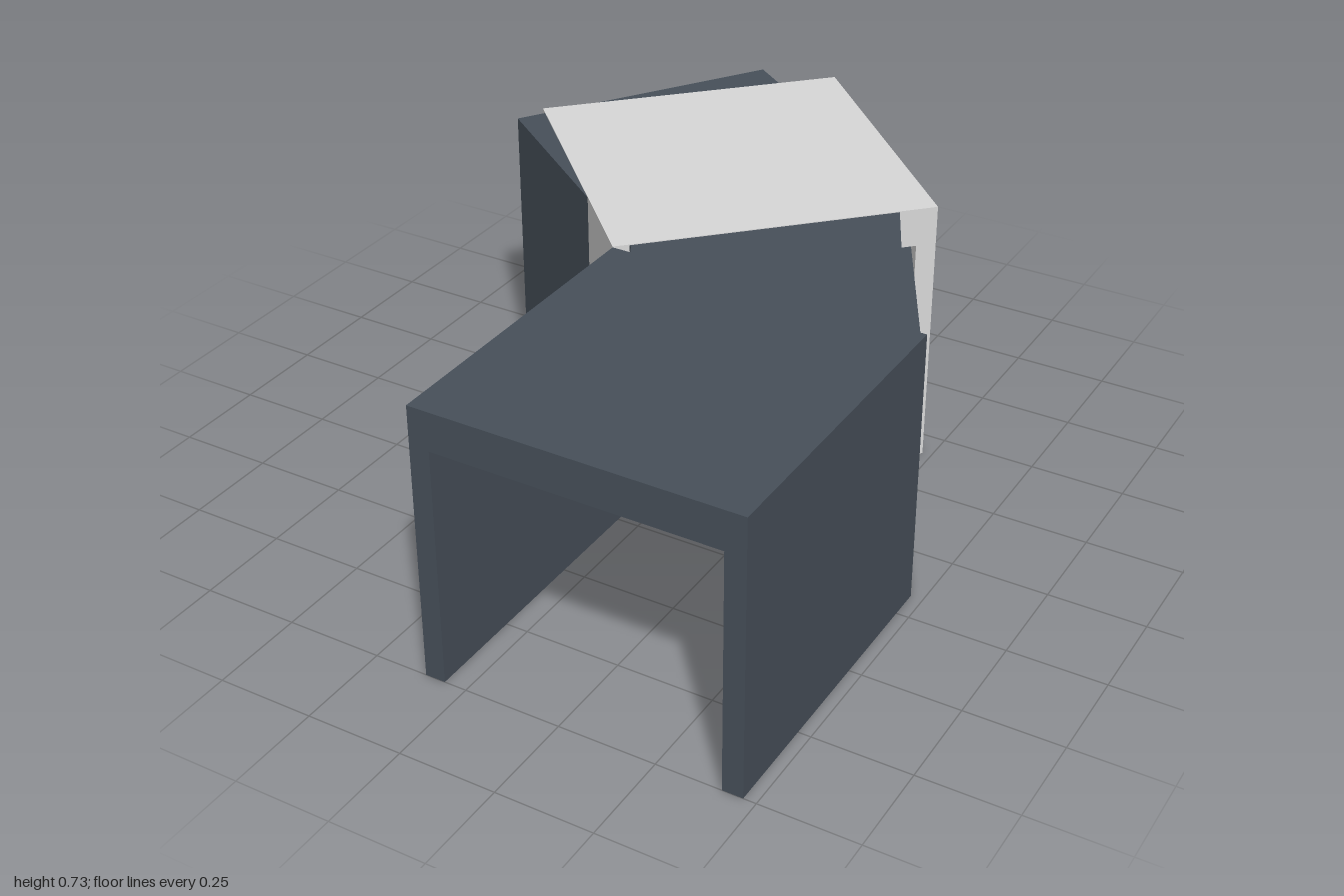
import * as THREE from 'three';

const HEIGHT = 0.725, CEILING = 0.625;

// Upright prism from a plan outline of [x, z] points
function prism(name, outline, y0, y1, material) {
  const shape = new THREE.Shape(outline.map(([x, z]) => new THREE.Vector2(x, -z)));
  const geometry = new THREE.ExtrudeGeometry(shape, { depth: y1 - y0, bevelEnabled: false });
  geometry.rotateX(-Math.PI / 2);
  geometry.translate(0, y0, 0);
  const mesh = new THREE.Mesh(geometry, material);
  mesh.name = name;
  return mesh;
}

const mix = (a, b, t) => [a[0] + (b[0] - a[0]) * t, a[1] + (b[1] - a[1]) * t];

// Straight passage: two side walls under a roof slab.
// Corners run: near left, near right, far right, far left.
function passage(name, [nl, nr, fr, fl], wall, top, material) {
  const group = new THREE.Group();
  group.name = name;
  const t = wall / Math.hypot(nr[0] - nl[0], nr[1] - nl[1]);
  group.add(
    prism('roof', [nl, nr, fr, fl], CEILING, top, material),
    prism('leftWall', [nl, mix(nl, nr, t), mix(fl, fr, t), fl], 0, CEILING, material),
    prism('rightWall', [mix(nr, nl, t), nr, fr, mix(fr, fl, t)], 0, CEILING, material)
  );
  return group;
}

export function createModel() {
  const model = new THREE.Group();
  model.name = 'bentTunnel';
  const slate = new THREE.MeshStandardMaterial({ color: 0x47505a });
  slate.name = 'slate';
  const paleGrey = new THREE.MeshStandardMaterial({ color: 0xd8d8d8 });
  paleGrey.name = 'paleGrey';

  // Front passage, square to the axes
  model.add(passage('frontPassage',
    [[-0.11, 1], [0.718, 1], [0.718, 0.17], [-0.11, 0.17]], 0.052, HEIGHT, slate));

  // Wedge-shaped bend, its roof set between the walls
  const bend = new THREE.Group();
  bend.name = 'bend';
  bend.add(
    prism('bendRoof', [[-0.06, 0.17], [0.664, 0.17], [0.335, -0.482], [-0.074, 0.145]], CEILING, HEIGHT, slate),
    prism('bendOuterWall', [[0.666, 0.17], [0.718, 0.17], [0.37, -0.478], [0.318, -0.478]], 0, CEILING, slate),
    prism('bendInnerWall', [[-0.06, 0.17], [-0.025, 0.095], [-0.074, 0.145]], 0, CEILING, slate)
  );
  model.add(bend);

  // Rear passage, turned after the bend
  model.add(passage('rearPassage',
    [[-0.074, 0.145], [0.335, -0.482], [-0.31, -0.95], [-0.72, -0.33]], 0.06, HEIGHT, slate));

  // Pale passage crossing the rear one at 45 degrees
  model.add(passage('palePassage',
    [[-0.11, 0.17], [0.475, -0.415], [-0.11, -1], [-0.695, -0.415]], 0.052, HEIGHT + 0.002, paleGrey));

  return model;
}
